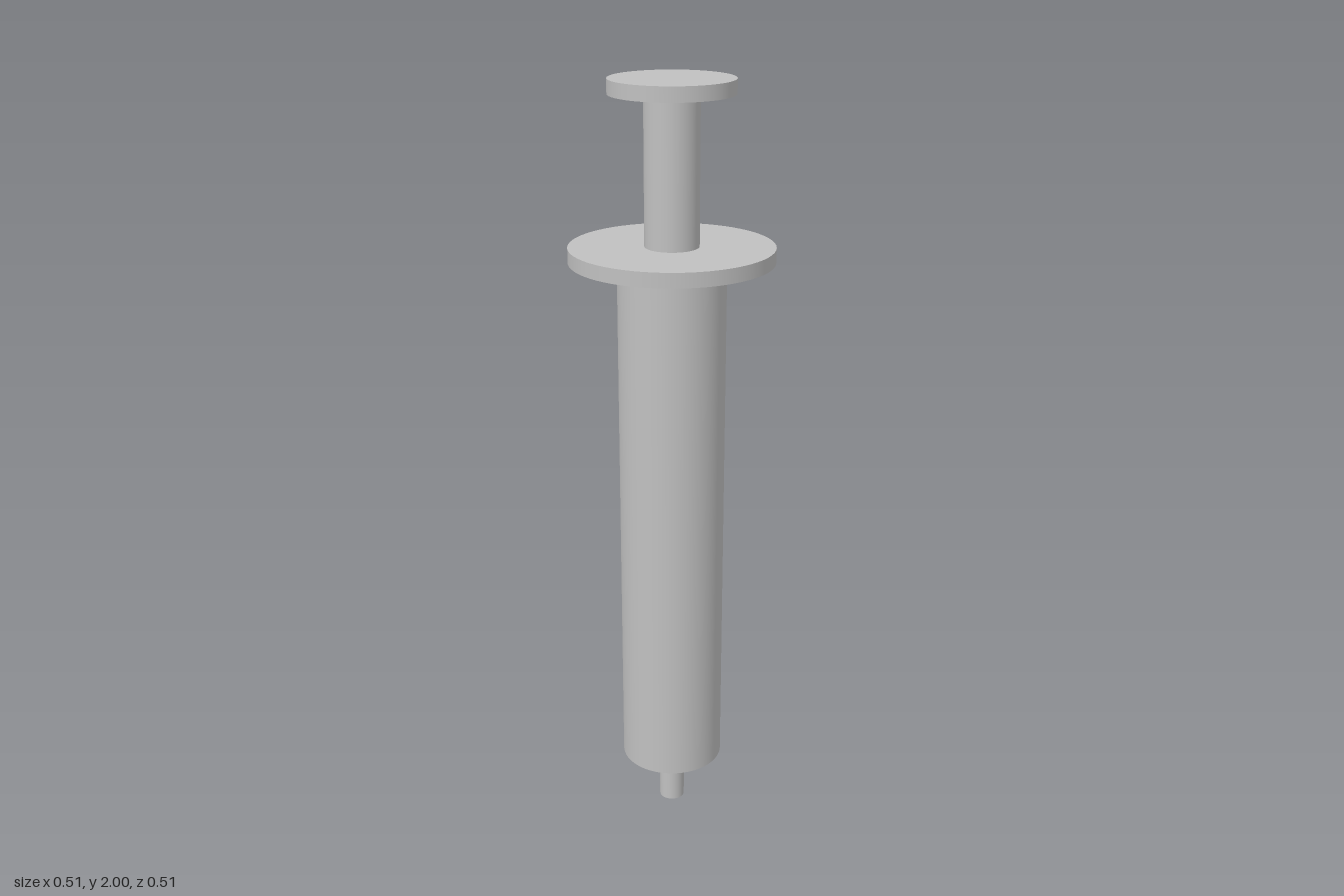
import * as THREE from 'three';

export function createModel() {
  const group = new THREE.Group();
  group.name = 'syringe';
  const grey = new THREE.MeshStandardMaterial({ color: 0xc0c0c0 });
  grey.name = 'light grey';

  // Stacked round parts: name, radius, bottom and top height
  const parts = [
    ['nozzle', 0.034, 0, 0.157],
    ['barrel', 0.136, 0.157, 1.563],
    ['fingerFlange', 0.256, 1.563, 1.6],
    ['plungerRod', 0.068, 1.6, 1.964],
    ['thumbRest', 0.154, 1.964, 2],
  ];
  for (const [name, radius, bottom, top] of parts) {
    const geometry = new THREE.CylinderGeometry(radius, radius, top - bottom, 64);
    const mesh = new THREE.Mesh(geometry, grey);
    mesh.name = name;
    mesh.position.y = (bottom + top) / 2;
    group.add(mesh);
  }
  return group;
}
